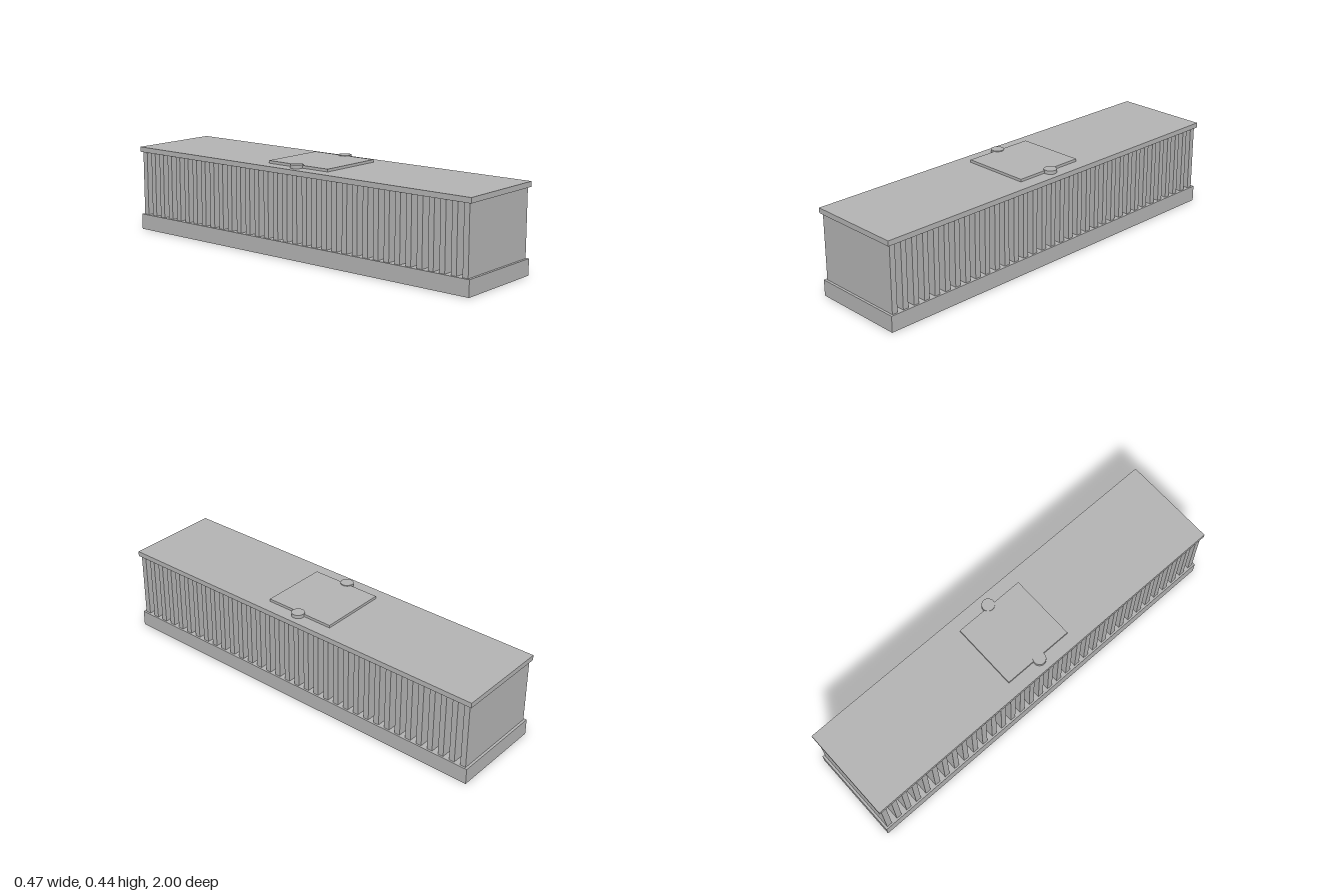
import * as THREE from 'three';

export function createModel() {
  const model = new THREE.Group();
  const grey = new THREE.MeshStandardMaterial({ color: 0xb2b2b2 });
  grey.name = 'plain grey';

  const add = (name, geometry, x, y, z, parent = model) => {
    const mesh = new THREE.Mesh(geometry, grey);
    mesh.name = name;
    mesh.position.set(x, y, z);
    parent.add(mesh);
    return mesh;
  };
  // Box spanning y0..y1, centred on x and z
  const slab = (name, width, y0, y1, depth) =>
    add(name, new THREE.BoxGeometry(width, y1 - y0, depth), 0, (y0 + y1) / 2, 0);

  slab('base', 0.47, 0, 0.078, 2);
  slab('lid', 0.47, 0.4, 0.425, 2);
  slab('topPlate', 0.336, 0.425, 0.438, 0.36);

  // Row of full-width upright fins between base and lid
  const fins = new THREE.Group();
  fins.name = 'fins';
  model.add(fins);
  const count = 34, reach = 0.974;
  const finGeometry = new THREE.BoxGeometry(0.452, 0.322, 0.028);
  for (let i = 0; i < count; i++) {
    add('fin', finGeometry, 0, 0.239, reach - (2 * reach * i) / (count - 1), fins);
  }

  // Round clamps on both sides of the plate
  const clampGeometry = new THREE.CylinderGeometry(0.031, 0.031, 0.017, 32);
  for (const side of [1, -1]) {
    add(side > 0 ? 'leftClamp' : 'rightClamp', clampGeometry, side * 0.176, 0.4335, 0);
  }
  return model;
}
